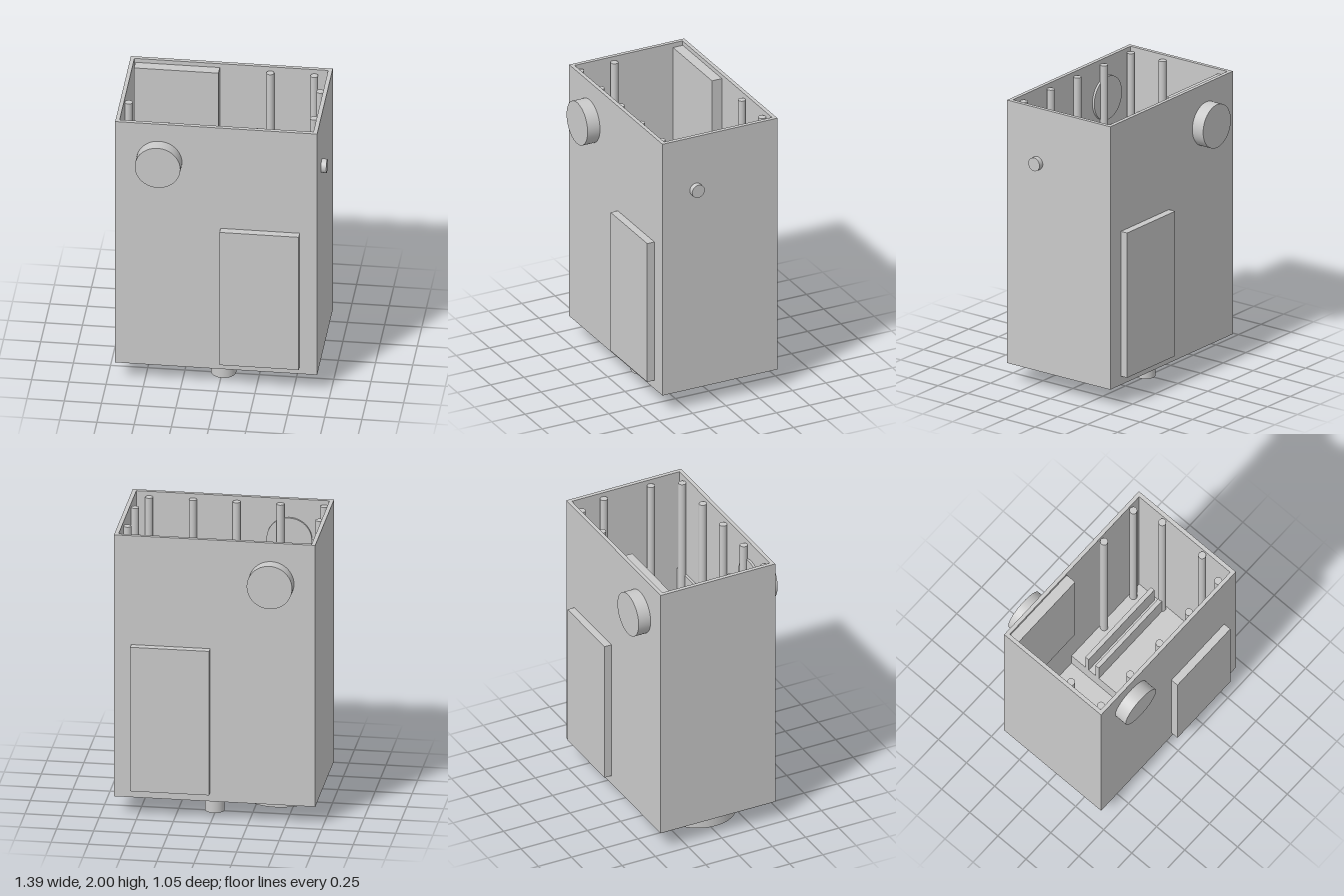
import * as THREE from 'three';

export function createModel() {
  const model = new THREE.Group();
  const grey = new THREE.MeshStandardMaterial({ color: 0xcacaca });
  grey.name = 'grey';

  function add(name, geometry) {
    const mesh = new THREE.Mesh(geometry, grey);
    mesh.name = name;
    model.add(mesh);
    return mesh;
  }
  // Box given by its two extremes on each axis
  function box(name, x0, x1, y0, y1, z0, z1) {
    add(name, new THREE.BoxGeometry(x1 - x0, y1 - y0, z1 - z0))
      .position.set((x0 + x1) / 2, (y0 + y1) / 2, (z0 + z1) / 2);
  }
  // Cylinder along one axis, centred on the given point
  function cylinder(name, r, length, axis, x, y, z) {
    const g = new THREE.CylinderGeometry(r, r, length, 48);
    if (axis === 'x') g.rotateZ(Math.PI / 2);
    if (axis === 'z') g.rotateX(Math.PI / 2);
    add(name, g).position.set(x, y, z);
  }
  // Counter-clockwise plan outline
  function rectangle(target, x0, x1, z0, z1) {
    target.moveTo(x0, -z1);
    target.lineTo(x1, -z1);
    target.lineTo(x1, -z0);
    target.lineTo(x0, -z0);
    target.closePath();
    return target;
  }

  // Open-topped housing: wall ring and floor
  const ring = rectangle(new THREE.Shape(), -0.697, 0.66, -0.433, 0.43);
  ring.holes.push(rectangle(new THREE.Path(), -0.67, 0.632, -0.406, 0.403));
  const walls = new THREE.ExtrudeGeometry(ring, { depth: 1.867, bevelEnabled: false });
  walls.rotateX(-Math.PI / 2);
  add('housingWalls', walls).position.y = 0.133;
  box('housingFloor', -0.67, 0.632, 0.133, 0.16, -0.406, 0.403);

  // Raised cover plates and round buttons on the front and back
  box('frontCover', 0.011, 0.543, 0.195, 1.223, 0.43, 0.484);
  box('backCover', 0.011, 0.543, 0.195, 1.223, -0.485, -0.433);
  cylinder('frontButton', 0.153, 0.136, 'z', -0.401, 1.715, 0.455);
  cylinder('backButton', 0.153, 0.113, 'z', -0.401, 1.715, -0.4665);

  // Side knob
  cylinder('sideKnob', 0.047, 0.05, 'x', 0.671, 1.608, 0.178);

  // Underside disc and feet
  cylinder('bottomDisc', 0.258, 0.1, 'y', -0.404, 0.097, 0);
  cylinder('frontFoot', 0.084, 0.15, 'y', 0.009, 0.075, 0.238);
  cylinder('backFoot', 0.066, 0.15, 'y', 0.009, 0.075, -0.235);

  // Inner boards, raised bay and its ribs
  box('backBoard', -0.663, -0.096, 0.95, 1.97, -0.406, -0.332);
  box('frontBoard', -0.081, 0.632, 0.16, 1.25, 0.386, 0.403);
  box('bayFloor', -0.049, 0.632, 0.16, 0.3, -0.406, 0.403);
  for (const z of [-0.268, -0.178, 0.176, 0.266]) {
    box('bayRib', -0.049, 0.612, 0.3, 0.5, z - 0.015, z + 0.015);
  }

  // Upright posts along the walls
  const posts = [[0.247, -0.378], [0.542, -0.378], [0.607, -0.178], [0.607, 0.176], [-0.645, 0.117]];
  for (let i = 0; i < 5; i++) posts.push([-0.638 + i * 0.295, 0.377]);
  for (const [x, z] of posts) cylinder('post', 0.026, 1.81, 'y', x, 1.065, z);

  return model;
}
